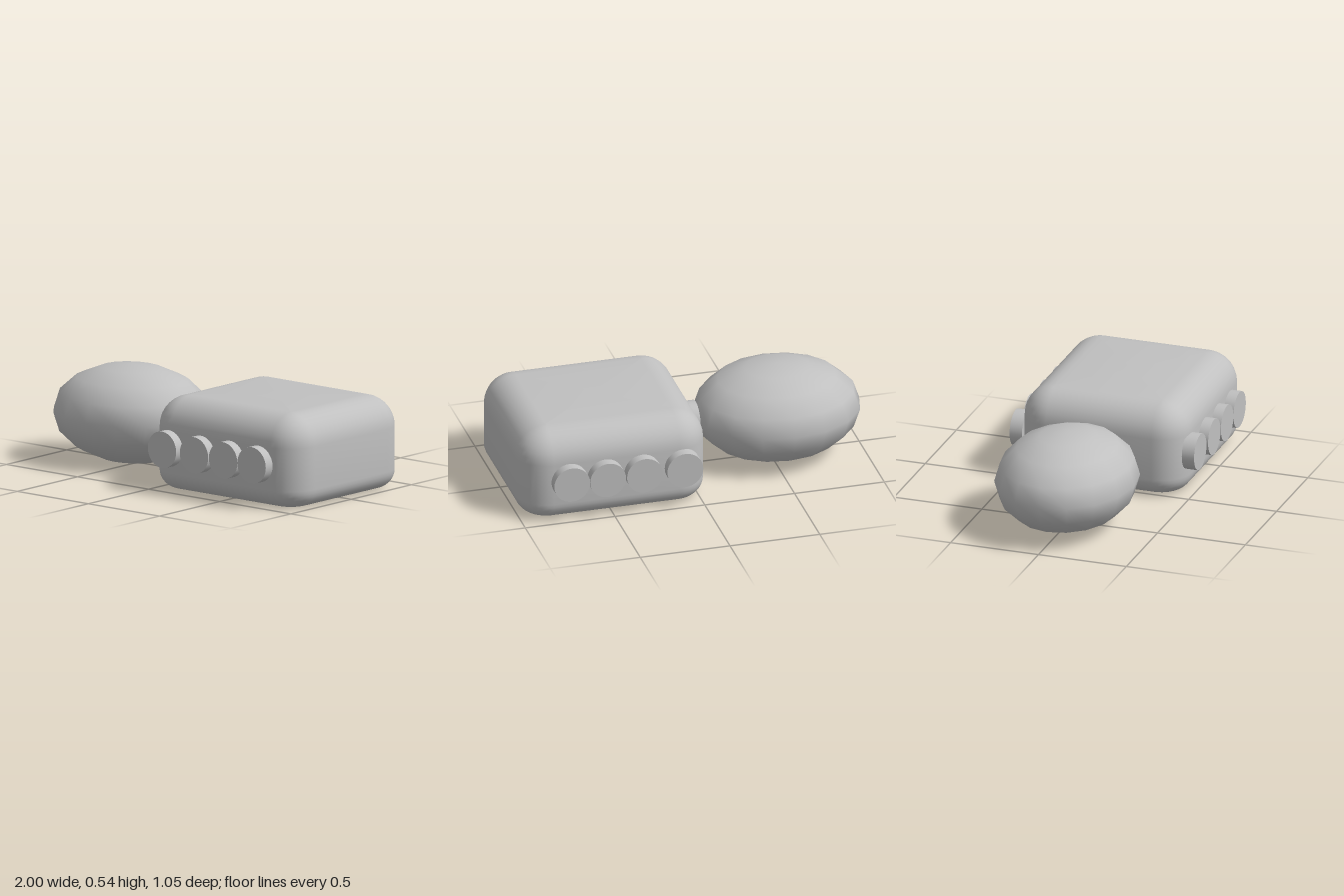
import * as THREE from 'three';
import { toCreasedNormals } from 'three/addons/utils/BufferGeometryUtils.js';

const ARC = 8; // steps in each rounded corner

// Rounded rectangle loop in the ground plane
function loopPoints(hx, hz, r, y) {
  const pts = [];
  const corners = [[1, 1], [-1, 1], [-1, -1], [1, -1]];
  corners.forEach(([sx, sz], k) => {
    for (let i = 0; i <= ARC; i++) {
      const a = (k + i / ARC) * Math.PI / 2;
      pts.push([sx * (hx - r) + r * Math.cos(a), y, sz * (hz - r) + r * Math.sin(a)]);
    }
  });
  return pts;
}

// Box with rounded uprights, a wide top rounding and a tighter bottom rounding
function roundedBody(hx, hz, h, rTop, rBottom, rSide) {
  const rings = [];
  const addRing = (inset, y) =>
    rings.push(loopPoints(hx - inset, hz - inset, Math.max(rSide - inset, 0.001), y));
  for (let i = 0; i <= ARC; i++) {
    const a = i / ARC * Math.PI / 2;
    addRing(rBottom * (1 - Math.sin(a)), rBottom * (1 - Math.cos(a)));
  }
  for (let i = 0; i <= ARC; i++) {
    const a = i / ARC * Math.PI / 2;
    addRing(rTop * (1 - Math.cos(a)), h - rTop * (1 - Math.sin(a)));
  }
  const n = rings[0].length;
  const pos = rings.flat(2);
  const index = [];
  for (let j = 0; j < rings.length - 1; j++) {
    for (let i = 0; i < n; i++) {
      const a = j * n + i, b = j * n + (i + 1) % n;
      index.push(a, a + n, b, b, a + n, b + n);
    }
  }
  // Flat bottom and top
  const last = (rings.length - 1) * n;
  const centre = pos.length / 3;
  pos.push(0, 0, 0, 0, h, 0);
  for (let i = 0; i < n; i++) {
    const k = (i + 1) % n;
    index.push(centre, i, k, centre + 1, last + k, last + i);
  }
  const g = new THREE.BufferGeometry();
  g.setAttribute('position', new THREE.Float32BufferAttribute(pos, 3));
  g.setIndex(index);
  return toCreasedNormals(g, 0.6);
}

export function createModel() {
  const group = new THREE.Group();
  const grey = new THREE.MeshStandardMaterial({ color: 0xc0c0c0 });
  grey.name = 'grey';

  const add = (name, geometry, x, y, z) => {
    const mesh = new THREE.Mesh(geometry, grey);
    mesh.name = name;
    mesh.position.set(x, y, z);
    group.add(mesh);
    return mesh;
  };

  add('body', roundedBody(0.52, 0.47, 0.505, 0.17, 0.1, 0.17), 0.48, 0, 0);

  // Flattened egg-shaped head
  const head = add('head', new THREE.SphereGeometry(1, 16, 8), -0.54, 0.268, 0);
  head.scale.set(0.46, 0.268, 0.382);

  // Short neck joining head and body
  const neck = add('neck', new THREE.CylinderGeometry(0.1, 0.1, 0.1, 32), -0.04, 0.265, 0);
  neck.rotation.z = Math.PI / 2;

  // Four wheels on each side
  const wheel = new THREE.CylinderGeometry(0.1, 0.1, 0.07, 32).rotateX(Math.PI / 2);
  for (const side of [1, -1]) {
    for (const x of [0.115, 0.34, 0.545, 0.745]) {
      add(side > 0 ? 'frontWheel' : 'backWheel', wheel, x, 0.235, side * 0.49);
    }
  }
  return group;
}
